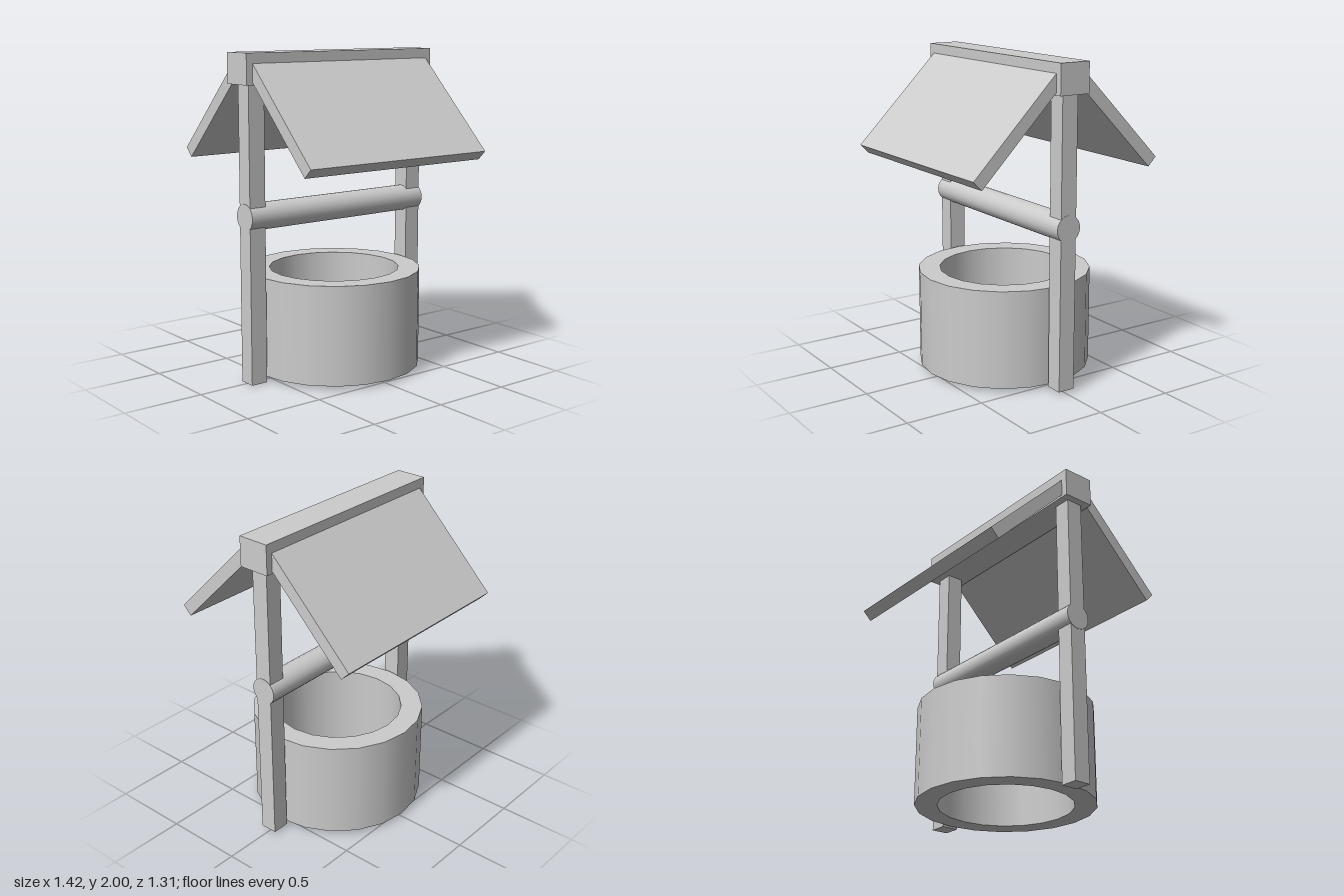
import * as THREE from 'three';

export function createModel() {
  const well = new THREE.Group();
  well.name = 'well';
  const material = new THREE.MeshStandardMaterial({ color: 0xcccccc });

  const add = (name, geometry, x = 0, y = 0, z = 0) => {
    const mesh = new THREE.Mesh(geometry, material);
    mesh.name = name;
    mesh.position.set(x, y, z);
    well.add(mesh);
    return mesh;
  };

  // Thick round wall, open through the middle: smooth sides, sharp rims
  const outer = 0.545, inner = 0.41, bottom = 0.025, top = 0.64, sides = 20;
  const ring = new THREE.Group();
  ring.name = 'wellWall';
  const strips = [
    ['outerWall', outer, bottom, outer, top],
    ['topRim', outer, top, inner, top],
    ['innerWall', inner, top, inner, bottom],
    ['bottomRim', inner, bottom, outer, bottom],
  ];
  for (const [name, r0, y0, r1, y1] of strips) {
    const profile = [new THREE.Vector2(r0, y0), new THREE.Vector2(r1, y1)];
    const strip = new THREE.Mesh(new THREE.LatheGeometry(profile, sides), material);
    strip.name = name;
    ring.add(strip);
  }
  well.add(ring);

  // Posts, the left one standing slightly higher than the right
  for (const [name, side, foot] of [['leftPost', 1, 0.02], ['rightPost', -1, 0]]) {
    const height = 1.9 - foot;
    add(name, new THREE.BoxGeometry(0.11, height, 0.108), side * 0.615, foot + height / 2, 0);
  }

  // Round axle between the posts
  const axle = new THREE.CylinderGeometry(0.083, 0.083, 1.344, sides);
  axle.rotateZ(Math.PI / 2);
  add('axle', axle, 0, 1.026, 0);

  // Ridge beam
  add('ridgeBeam', new THREE.BoxGeometry(1.425, 0.185, 0.202), 0, 1.9075, 0);

  // Roof panels sloping 45 degrees, upper ends tucked into the ridge beam
  const thickness = 0.078, length = 0.8;
  for (const [name, side] of [['frontRoofPanel', 1], ['backRoofPanel', -1]]) {
    const panel = new THREE.BoxGeometry(1.342, thickness, length);
    panel.translate(0, -thickness / 2, -length / 2);
    const mesh = add(name, panel, 0, 1.386, side * 0.654);
    mesh.rotation.order = 'YXZ';
    mesh.rotation.set(Math.PI / 4, side > 0 ? 0 : Math.PI, 0);
  }

  return well;
}
